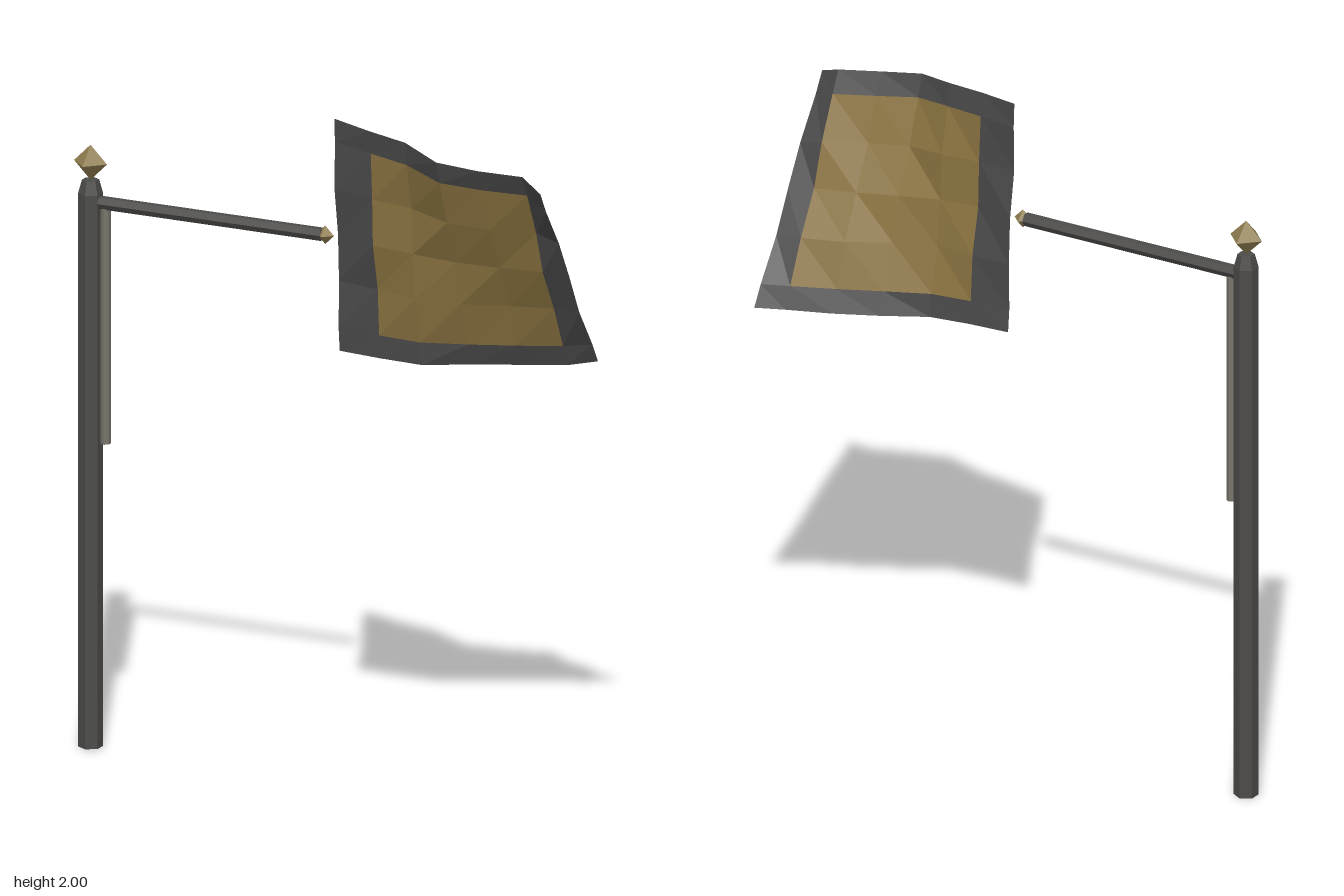
import * as THREE from 'three';

const mat = (color, side = THREE.FrontSide) =>
  new THREE.MeshStandardMaterial({ color, side, flatShading: true, roughness: 0.9 });

const Z = 0.068; // depth of pole and bracket

export function createModel() {
  const group = new THREE.Group();
  const iron = mat(0x4c4b49), brass = mat(0x8f7d50), rodMat = mat(0x77746a);

  const add = (name, geometry, material, x, y) => {
    const mesh = new THREE.Mesh(geometry, material);
    mesh.name = name;
    mesh.position.set(x, y, Z);
    group.add(mesh);
    return mesh;
  };

  // Six-sided pole with a tapered top
  const poleProfile = [[0, 0], [0.036, 0], [0.036, 1.67], [0.025, 1.71], [0, 1.71]]
    .map(([r, y]) => new THREE.Vector2(r, y));
  add('pole', new THREE.LatheGeometry(poleProfile, 6), iron, -0.725, 0);
  add('poleFinial', new THREE.OctahedronGeometry(0.053), brass, -0.725, 1.762);

  // Side arm with a pointed tip
  const arm = new THREE.CylinderGeometry(0.02, 0.02, 0.73, 6).rotateZ(Math.PI / 2);
  add('arm', arm, iron, -0.345, 1.645);
  add('armFinial', new THREE.OctahedronGeometry(0.028), brass, 0.03, 1.645);

  // Slim rod hanging beside the pole
  add('hangingRod', new THREE.CylinderGeometry(0.015, 0.015, 0.71, 6), rodMat, -0.676, 1.275);

  // Rippling cloth: each column is [x, bottom y, bottom z, top y, top z]
  const columns = [
    [0.06, 1.29, 0.035, 2.0, 0.07],
    [0.19, 1.285, 0.036, 1.99, 0.107],
    [0.32, 1.28, 0.028, 1.98, 0.135],
    [0.45, 1.28, -0.042, 1.955, 0.197],
    [0.575, 1.28, -0.1, 1.94, 0.177],
    [0.70, 1.282, -0.15, 1.93, 0.143],
    [0.775, 1.29, -0.2, 1.897, 0.176],
  ];
  const rows = [0, 0.1, 0.3, 0.5, 0.7, 0.9, 1];
  const point = (i, j) => {
    const [x, y0, z0, y1, z1] = columns[i], t = rows[j];
    const ripple = 0.012 * Math.sin(Math.PI * t) * Math.sin(i * 1.7 + j * 1.9);
    return [x, y0 + (y1 - y0) * t, z0 + (z1 - z0) * t + ripple];
  };
  const field = [], border = [];
  for (let i = 0; i < 6; i++) {
    for (let j = 0; j < 6; j++) {
      const edge = i === 0 || j === 0 || i === 5 || j === 5;
      const a = point(i, j), b = point(i + 1, j), c = point(i + 1, j + 1), d = point(i, j + 1);
      (edge ? border : field).push(...a, ...b, ...c, ...a, ...c, ...d);
    }
  }
  const flag = new THREE.Group();
  flag.name = 'flag';
  for (const [name, points, color] of [['flagField', field, 0x8a7340], ['flagBorder', border, 0x4a4a4a]]) {
    const geometry = new THREE.BufferGeometry();
    geometry.setAttribute('position', new THREE.Float32BufferAttribute(points, 3));
    geometry.computeVertexNormals();
    const mesh = new THREE.Mesh(geometry, mat(color, THREE.DoubleSide));
    mesh.name = name;
    flag.add(mesh);
  }
  group.add(flag);
  return group;
}
